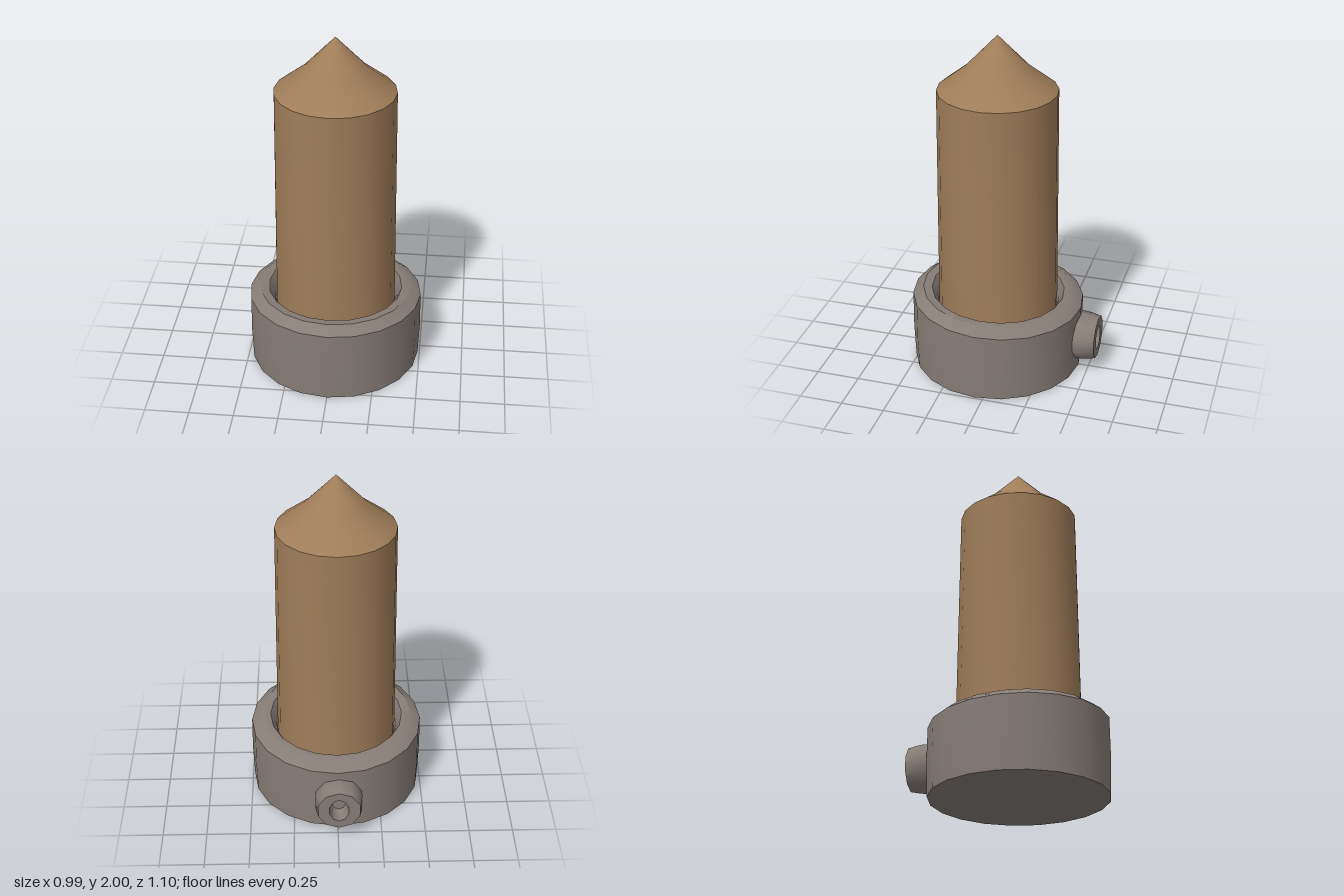
import * as THREE from 'three';
import { toCreasedNormals } from 'three/addons/utils/BufferGeometryUtils.js';

const CENTRE_Z = 0.05;

// Revolve a profile of [radius, height] pairs, keeping hard edges sharp
function revolve(profile, sides, crease, deform) {
  const points = profile.map(([r, y]) => new THREE.Vector2(r, y));
  const geometry = new THREE.LatheGeometry(points, sides);
  if (deform) {
    const p = geometry.attributes.position;
    const v = new THREE.Vector3();
    for (let i = 0; i < p.count; i++) {
      deform(v.fromBufferAttribute(p, i));
      p.setXYZ(i, v.x, v.y, v.z);
    }
  }
  return toCreasedNormals(geometry, crease);
}

export function createModel() {
  const model = new THREE.Group();
  const wood = new THREE.MeshStandardMaterial({ color: 0xa07d59 });
  wood.name = 'wood brown';
  const metal = new THREE.MeshStandardMaterial({ color: 0x877d77 });
  metal.name = 'warm grey';

  function add(name, geometry, material, y, z) {
    const mesh = new THREE.Mesh(geometry, material);
    mesh.name = name;
    mesh.position.set(0, y, z);
    model.add(mesh);
    return mesh;
  }

  // Socket: a round cup whose rim rises slightly toward the front
  const socket = revolve([
    [0, 0.005], [0.49, 0.005], [0.497, 0.2], [0.495, 0.41],
    [0.435, 0.455], [0.385, 0.45], [0.355, 0.40], [0.34, 0.33], [0, 0.33],
  ], 20, 0.75, (v) => {
    if (v.y > 0.3) v.y += v.z * 0.035;
  });
  add('socket', socket, metal, 0, CENTRE_Z);

  // Post: gently tapering shaft with a two-step pointed tip
  const post = revolve([
    [0, 0.31], [0.345, 0.31], [0.333, 1.69], [0.18, 1.81], [0, 2],
  ], 20, 0.75);
  add('post', post, wood, 0, CENTRE_Z);

  // Spout: short faceted tube on the back, with a narrow recess
  const spout = revolve([
    [0.125, 0], [0.14, 0.11], [0.137, 0.14], [0.124, 0.2],
    [0.075, 0.2], [0.055, 0.12], [0, 0.12],
  ], 10, 0.8, (v) => {
    if (Math.hypot(v.x, v.z) < 0.1) v.x *= 0.75;
  });
  spout.rotateX(-Math.PI / 2);
  add('spout', spout, metal, 0.21, -0.35).position.x = -0.005;

  return model;
}
